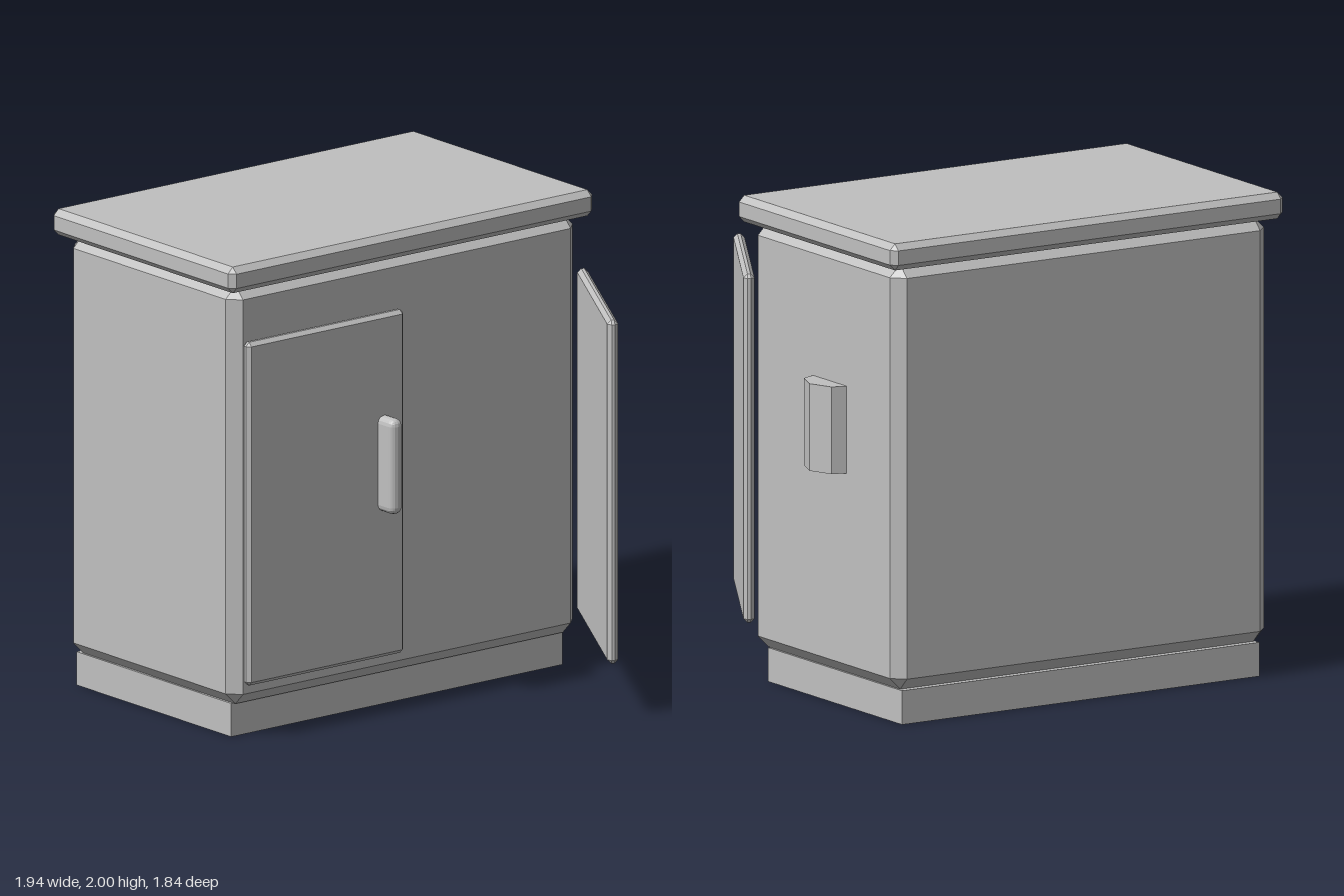
import * as THREE from 'three';
import { ConvexGeometry } from 'three/addons/geometries/ConvexGeometry.js';
import { RoundedBoxGeometry } from 'three/addons/geometries/RoundedBoxGeometry.js';

// Box with every edge cut at 45 degrees
function chamferedBox(w, h, d, c) {
  const points = [];
  for (const sx of [-1, 1]) for (const sy of [-1, 1]) for (const sz of [-1, 1]) {
    const x = w / 2, y = h / 2, z = d / 2;
    points.push(
      new THREE.Vector3(sx * x, sy * (y - c), sz * (z - c)),
      new THREE.Vector3(sx * (x - c), sy * y, sz * (z - c)),
      new THREE.Vector3(sx * (x - c), sy * (y - c), sz * z)
    );
  }
  return new ConvexGeometry(points);
}

export function createModel() {
  const model = new THREE.Group();
  model.name = 'cabinet';
  const grey = new THREE.MeshStandardMaterial({ color: 0xc0c0c0, flatShading: true });
  grey.name = 'grey';

  function add(name, geometry, x, y, z, turn = 0) {
    const mesh = new THREE.Mesh(geometry, grey);
    mesh.name = name;
    mesh.position.set(x, y, z);
    mesh.rotation.y = turn;
    model.add(mesh);
    return mesh;
  }

  // Carcass, standing on a recessed plinth under an overhanging worktop
  add('plinth', new THREE.BoxGeometry(1.72, 0.14, 0.995), -0.03, 0.07, -0.352);
  add('body', chamferedBox(1.8, 1.755, 1.08, 0.05), -0.03, 1.0175, -0.33);
  add('worktop', chamferedBox(1.89, 0.11, 1.17, 0.025), -0.03, 1.945, -0.33);

  // Closed door and open door, the latter swung 60 degrees on its outer edge
  const door = chamferedBox(0.815, 1.44, 0.045, 0.016);
  add('closedDoor', door, -0.4825, 0.955 - 0.002, 0.2345);
  add('openDoor', door, 0.673, 0.953, 0.566, Math.PI / 3);

  // Rounded upright handle on the closed door
  add('doorHandle', new RoundedBoxGeometry(0.064, 0.4, 0.12, 2, 0.03), -0.187, 1.05, 0.29);

  // Faceted block on the side wall: plan outline extruded upwards
  const plan = [[0.86, -0.25], [0.87, -0.25], [0.93, -0.275], [0.97, -0.378],
    [0.93, -0.48], [0.87, -0.5], [0.86, -0.5]];
  const outline = new THREE.Shape(plan.map(([x, z]) => new THREE.Vector2(x, -z)));
  const block = new THREE.ExtrudeGeometry(outline, { depth: 0.36, bevelEnabled: false });
  block.rotateX(-Math.PI / 2);
  add('sideBlock', block, 0, 0.98, 0);

  return model;
}
